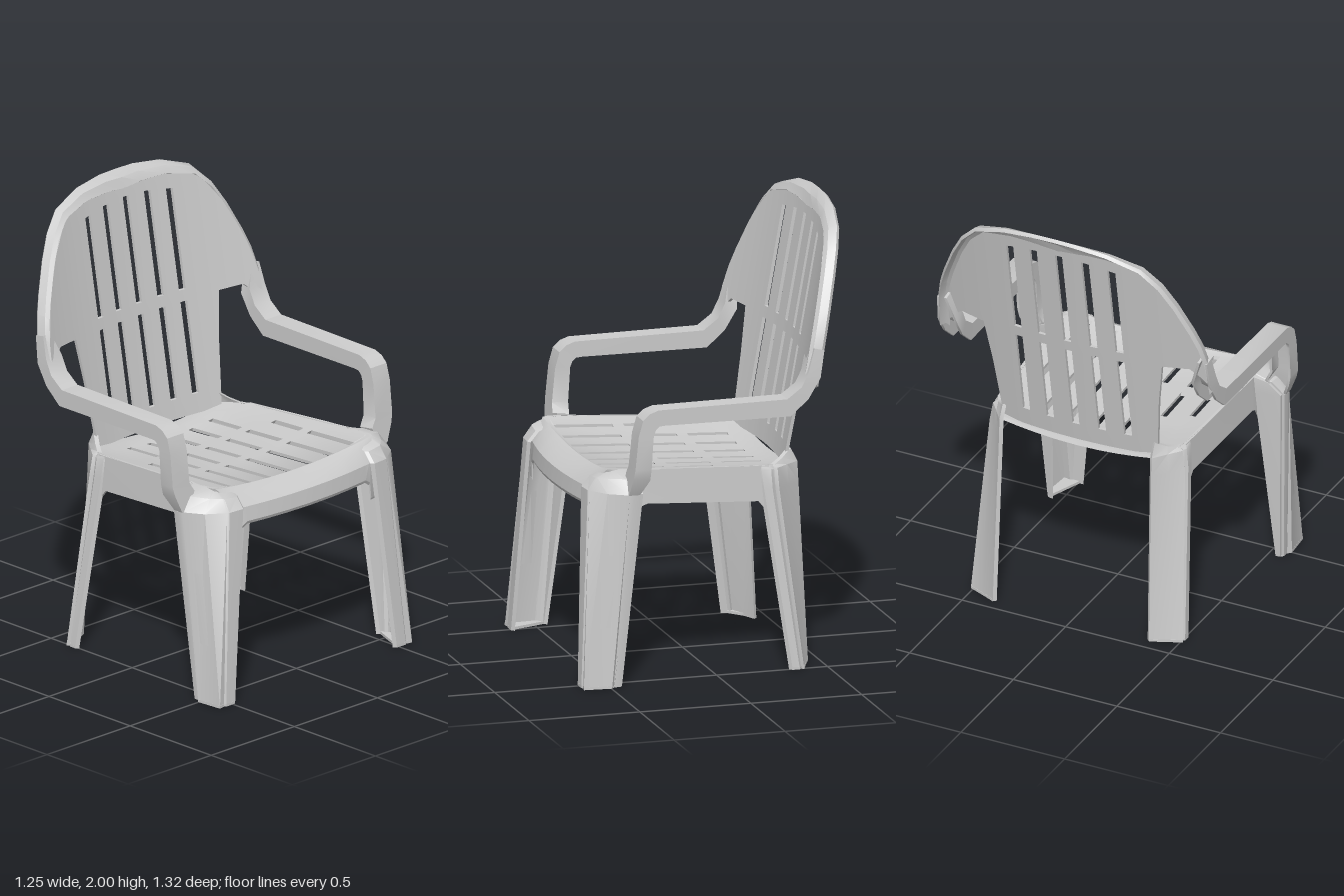
import * as THREE from 'three';
import { toCreasedNormals } from 'three/addons/utils/BufferGeometryUtils.js';

const material = new THREE.MeshStandardMaterial({ color: 0xcccccc, side: THREE.DoubleSide });

// Piecewise-linear lookup in [[t, value], ...]
function lookup(table, t) {
  for (let k = 1; k < table.length; k++) {
    const [a, va] = table[k - 1], [b, vb] = table[k];
    if (t <= b || k === table.length - 1) {
      return va + (vb - va) * THREE.MathUtils.clamp((t - a) / (b - a), 0, 1);
    }
  }
}

const shift = (grid, dx, dy, dz) => grid.map(row => row.map(([x, y, z]) => [x + dx, y + dy, z + dz]));

// Closed shell between two grids of points; skipped cells become holes with walls
function slab(name, A, B, skip = () => false) {
  const pos = [];
  const quad = (a, b, c, d) => pos.push(...a, ...b, ...c, ...a, ...c, ...d);
  const ni = A.length - 1, nj = A[0].length - 1;
  const empty = (i, j) => i < 0 || j < 0 || i >= ni || j >= nj || skip(i, j);
  for (let i = 0; i < ni; i++) {
    for (let j = 0; j < nj; j++) {
      if (empty(i, j)) continue;
      const c = [[i, j], [i + 1, j], [i + 1, j + 1], [i, j + 1]];
      const a = c.map(([p, q]) => A[p][q]), b = c.map(([p, q]) => B[p][q]);
      quad(...a);
      quad(b[3], b[2], b[1], b[0]);
      [[i, j - 1], [i + 1, j], [i, j + 1], [i - 1, j]].forEach(([p, q], k) => {
        const n = (k + 1) % 4;
        if (empty(p, q)) quad(a[n], a[k], b[k], b[n]);
      });
    }
  }
  const geo = new THREE.BufferGeometry();
  geo.setAttribute('position', new THREE.Float32BufferAttribute(pos, 3));
  const mesh = new THREE.Mesh(toCreasedNormals(geo, 0.5), material);
  mesh.name = name;
  return mesh;
}

const mirrored = half => [...half.slice().reverse().map(z => -z), ...half];

// Outer outline of the backrest as [z, y], and the line where its rim starts
const outline = [[0, 2], [0.1, 1.998], [0.25, 1.98], [0.4, 1.93], [0.48, 1.85], [0.54, 1.75],
  [0.6, 1.62], [0.63, 1.54], [0.65, 1.45], [0.66, 1.3]];
const inner = outline.map(([z, y]) => [z * 0.968, y - 0.025 - 0.05 * Math.max(0, 1 - z / 0.45)]);
const backX = (y, z) => -0.38 - 0.18 * (y - 0.93) + 0.095 * (z / 0.63) ** 2;

function backrest() {
  const zs = mirrored([0.017, 0.107, 0.143, 0.227, 0.263, 0.32, 0.37, 0.4, 0.43, 0.5, 0.55, 0.59, 0.63]);
  const slotCols = zs.slice(0, -1).map((z, i) => {
    const m = Math.abs(z + zs[i + 1]) / 2;
    return [0, 0.125, 0.245].some(s => Math.abs(m - s) < 0.005);
  });
  const bottom = [[0, 0.88], [0.37, 0.88], [0.4, 1.18], [0.43, 1.38], [0.56, 1.385], [0.63, 1.3]];
  const front = zs.map(z => {
    const w = Math.abs(z), top = lookup(inner, w), low = lookup(bottom, w);
    const rows = w < 0.3 ? [low, 0.965, 1.37, 1.42, 1.89 - 0.4 * w * w, top]
      : [0, 0.08, 0.45, 0.5, 0.92, 1].map(t => low + (top - low) * t);
    return rows.map(y => [backX(y, z), y, z]);
  });
  return slab('backrest', front, shift(front, -0.015, 0, 0), (i, j) => slotCols[i] && (j === 1 || j === 3));
}

// Lip that rolls backward around the top of the backrest
function backRim() {
  const both = pts => [...pts.slice(1).reverse().map(([z, y]) => [-z, y]), ...pts];
  const outerPts = both(outline);
  const grid = both(inner).map(([z, y], k) => {
    const [oz, oy] = outerPts[k], x = backX(y, z);
    return [[x, y, z], [x - 0.018, (y + oy) / 2 + 0.008, (z + oz) / 2], [x - 0.055, oy, oz]];
  });
  return slab('backRim', grid, grid.map(r => r.map(([x, y, z]) => [x - 0.012, y - 0.012, z * 0.985])));
}

// Half width of the seat along x
const seatHalf = [[-0.38, 0.37], [-0.32, 0.415], [-0.25, 0.455], [0.35, 0.488], [0.46, 0.48], [0.592, 0.43]];

function seat() {
  const zs = mirrored([0.015, 0.11, 0.14, 0.23, 0.26, 0.355, 0.385, 0.44, 0.48]);
  const xs = [-0.38, -0.32, -0.28, -0.1, -0.05, -0.02, 0.15, 0.2, 0.462, 0.485, 0.54, 0.585, 0.592];
  const top = xs.map((x, i) => zs.map(z0 => {
    const w = lookup(seatHalf, x), a = Math.abs(z0);
    const z = a < 0.39 && i > 1 ? z0 : z0 * w / 0.48;
    const f = (z / w) ** 2;
    const dip = i > 1 && i < 9 ? 0.047 : 0.033;
    let y = 0.895 + 0.05 * Math.min(1, (x + 0.38) / 0.84) - dip * (1 - f);
    if (i === 10) y -= 0.022;
    if (i === 11) y = 0.855;
    if (i === 12) y = a < 0.36 ? 0.79 : a < 0.4 ? 0.77 : 0.7;
    return [x - (i > 9 ? 0.04 * f : 0), y, z];
  }));
  // Lengthwise slots; the outermost pair is shorter
  const isSlot = (i, j) => {
    const m = Math.abs(zs[j] + zs[j + 1]) / 2;
    if (Math.abs(m - 0.37) < 0.005) return i === 5 || i === 7;
    const column = [0, 0.125, 0.245].some(s => Math.abs(m - s) < 0.005);
    return column && [2, 4, 5, 7].includes(i);
  };
  return slab('seat', top, shift(top, -0.006, -0.014, 0), isSlot);
}

// Side skirt under the seat edge, arched between the legs
function sideApron() {
  const grid = [[-0.25, 0.902, 0.69], [-0.2, 0.905, 0.75], [0.31, 0.935, 0.785], [0.35, 0.938, 0.77], [0.385, 0.938, 0.71]]
    .map(([x, y0, y1]) => [[x, y0, lookup(seatHalf, x)], [x, y1, lookup(seatHalf, x) + 0.007]]);
  return slab('sideApron', grid, shift(grid, 0, 0, -0.014));
}

// Folded leg: foot and knee sections joined, then rows of points folding in to the seat
function leg(name, foot, knee, kneeY, caps, dx) {
  const at = (pts, y) => pts.map(([x, z]) => [x, y, z]);
  const rows = [at(foot, 0), at(knee, kneeY), ...caps];
  const group = new THREE.Group();
  group.name = name;
  group.add(slab('legShell', rows, shift(rows, dx, 0, -0.013)));
  const a = foot[0], b = foot[foot.length - 1], n = foot.length - 1;
  const chord = foot.map((p, k) => [a[0] + (b[0] - a[0]) * k / n, a[1] + (b[1] - a[1]) * k / n]);
  const sole = [at(foot, 0), at(chord, 0)];
  group.add(slab('footSole', sole, shift(sole, 0, 0.012, 0)));
  return group;
}

const frontLeg = () => leg('frontLeg',
  [[0.455, 0.55], [0.457, 0.57], [0.485, 0.572], [0.498, 0.588], [0.622, 0.578], [0.616, 0.548], [0.622, 0.54], [0.622, 0.487]],
  [[0.352, 0.5], [0.375, 0.615], [0.405, 0.618], [0.425, 0.612], [0.51, 0.56], [0.566, 0.48], [0.572, 0.472], [0.578, 0.395]], 0.86,
  [
    [[0.346, 0.92, 0.492], [0.36, 0.92, 0.56], [0.41, 0.92, 0.565], [0.43, 0.92, 0.56], [0.495, 0.915, 0.515],
      [0.53, 0.914, 0.475], [0.536, 0.912, 0.467], [0.54, 0.905, 0.395]],
    [[0.345, 0.942, 0.48], [0.36, 0.942, 0.485], [0.41, 0.943, 0.49], [0.43, 0.944, 0.485], [0.46, 0.942, 0.475],
      [0.47, 0.94, 0.462], [0.472, 0.938, 0.455], [0.475, 0.93, 0.395]],
  ], -0.013);

// The rear leg has one broad oblique face toward the outer back corner
const rearLeg = () => leg('rearLeg',
  [[-0.45, 0.377], [-0.42, 0.445], [-0.392, 0.512], [-0.382, 0.5], [-0.372, 0.512], [-0.34, 0.512]],
  [[-0.41, 0.367], [-0.35, 0.42], [-0.292, 0.472], [-0.278, 0.46], [-0.262, 0.472], [-0.225, 0.468]], 0.8,
  [
    [[-0.405, 0.89, 0.367], [-0.345, 0.89, 0.413], [-0.288, 0.89, 0.457], [-0.275, 0.885, 0.45], [-0.258, 0.885, 0.462], [-0.215, 0.885, 0.462]],
    [[-0.375, 0.95, 0.367], [-0.325, 0.918, 0.405], [-0.285, 0.902, 0.432], [-0.272, 0.9, 0.44], [-0.25, 0.902, 0.452], [-0.215, 0.904, 0.456]],
  ], 0.013);

// Open channel swept from the front leg up and back into the wing: outer x,y, inner x,y, z range
function armrest() {
  const path = [
    [0.43, 0.86, 0.38, 0.86, 0.56, 0.617], [0.42, 0.94, 0.345, 0.93, 0.535, 0.65],
    [0.415, 0.98, 0.342, 0.98, 0.56, 0.66], [0.4, 1.13, 0.332, 1.13, 0.562, 0.66],
    [0.38, 1.2, 0.322, 1.155, 0.563, 0.66], [0.35, 1.228, 0.305, 1.17, 0.564, 0.66],
    [0.31, 1.242, 0.28, 1.172, 0.565, 0.66], [-0.27, 1.247, -0.285, 1.17, 0.565, 0.66],
    [-0.335, 1.295, -0.365, 1.24, 0.565, 0.66], [-0.367, 1.36, -0.42, 1.33, 0.565, 0.659],
    [-0.395, 1.46, -0.44, 1.45, 0.605, 0.65]];
  const section = (t, dz) => path.map(([x, y, u, v, z0, z1]) => {
    const tx = x + (u - x) * t, ty = y + (v - y) * t;
    return [[u, v, z0 + dz], [tx, ty, z0 + dz], [tx, ty, z1 - dz], [u, v, z1 - dz]];
  });
  return slab('armrest', section(0, 0), section(0.18, 0.012));
}

export function createModel() {
  const chair = new THREE.Group();
  chair.name = 'gardenChair';
  chair.add(backrest(), backRim(), seat());
  for (const side of [1, -1]) {
    const half = new THREE.Group();
    half.name = side > 0 ? 'sideFrame' : 'sideFrameMirrored';
    half.add(frontLeg(), rearLeg(), sideApron(), armrest());
    half.scale.z = side;
    chair.add(half);
  }
  return chair;
}
